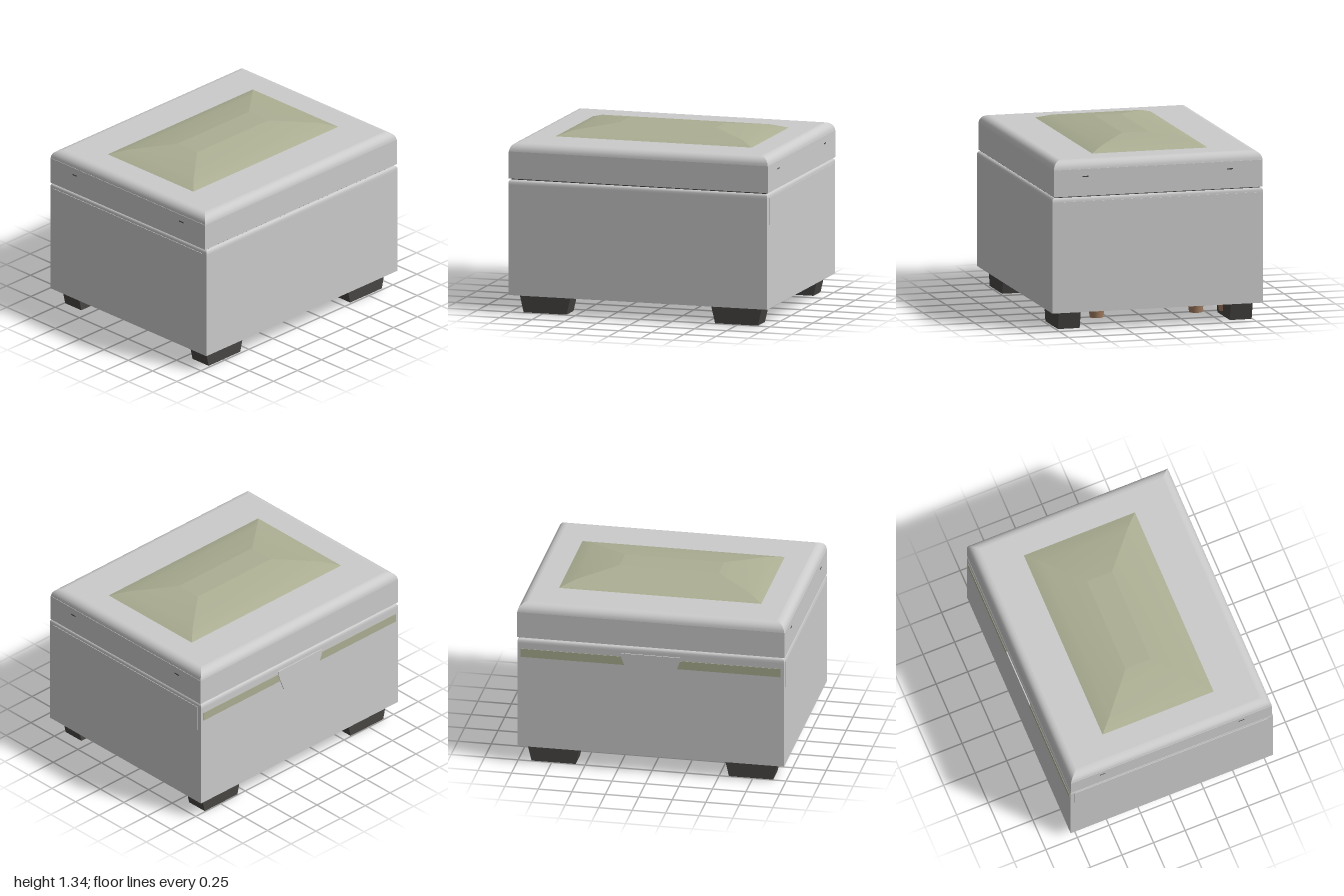
import * as THREE from 'three';

const mat = (color) => new THREE.MeshStandardMaterial({ color });

// Closed rectangular loft through [y, halfX, halfZ] levels: mitred corners, smooth up each side
function rectLoft(levels) {
  const pos = [], idx = [];
  const corners = ([y, x, z]) => [[x, y, z], [x, y, -z], [-x, y, -z], [-x, y, z]];
  for (let s = 0; s < 4; s++) {
    const start = pos.length / 3;
    levels.forEach((level, i) => {
      const c = corners(level);
      pos.push(...c[s], ...c[(s + 1) % 4]);
      if (i) {
        const a = start + (i - 1) * 2;
        idx.push(a, a + 1, a + 3, a, a + 3, a + 2);
      }
    });
  }
  for (const [level, flip] of [[levels[0], true], [levels.at(-1), false]]) {
    const a = pos.length / 3;
    corners(level).forEach((p) => pos.push(...p));
    idx.push(...(flip ? [a, a + 2, a + 1, a, a + 3, a + 2] : [a, a + 1, a + 2, a, a + 2, a + 3]));
  }
  const g = new THREE.BufferGeometry();
  g.setAttribute('position', new THREE.Float32BufferAttribute(pos, 3));
  g.setIndex(idx);
  g.computeVertexNormals();
  return g;
}

export function createModel() {
  const model = new THREE.Group();
  const grey = mat(0xcccccc), olive = mat(0xacaf93), dark = mat(0x484643), wood = mat(0xa67f62);

  function add(name, geometry, material, x = 0, y = 0, z = 0) {
    const mesh = new THREE.Mesh(geometry, material);
    mesh.name = name;
    mesh.position.set(x, y, z);
    model.add(mesh);
    return mesh;
  }

  // Storage body with a softened upper lip
  add('body', rectLoft([
    [0.135, 0.996, 0.802], [0.955, 0.996, 0.802], [0.975, 0.996, 0.802],
    [0.987, 0.99, 0.796], [0.992, 0.978, 0.784],
  ]), grey);
  add('lidSeam', new THREE.BoxGeometry(1.96, 0.02, 1.56), dark, 0, 0.995, 0);

  // Lid: straight border with a rounded top
  add('lidBorder', new THREE.BoxGeometry(1.998, 0.2, 1.59), grey, 0, 1.1, -0.004);
  const top = [];
  for (let i = 0; i <= 6; i++) {
    const a = (i / 6) * Math.PI / 2, inset = 0.065 * (1 - Math.cos(a));
    top.push([1.2 + 0.065 * Math.sin(a), 0.996 - inset, 0.795 - inset]);
  }
  add('lidTop', rectLoft(top), grey, 0, 0, -0.004);

  // Low domed pad set into the lid
  add('topPad', rectLoft([
    [1.255, 0.79, 0.47], [1.265, 0.755, 0.44], [1.3, 0.65, 0.34], [1.335, 0.37, 0.1],
  ]), olive, 0, 0, -0.01);

  for (const side of [1, -1]) {
    // Thin side panels and small lid catches
    add('sidePanel', new THREE.BoxGeometry(0.01, 0.2, 1.53), grey, side * 0.995, 0.86, -0.005);
    for (const z of [0.55, -0.55]) {
      add('lidCatch', new THREE.BoxGeometry(0.01, 0.008, 0.045), dark, side * 0.996, 1.145, z);
    }
  }

  // Strip and pull tab on the back
  add('backStrip', new THREE.BoxGeometry(1.94, 0.065, 0.01), olive, 0, 0.88, -0.8);
  const tab = new THREE.Shape([[-0.22, 0.94], [-0.22, 0.91], [-0.165, 0.765], [0.165, 0.765], [0.22, 0.91], [0.22, 0.94]]
    .map(([x, y]) => new THREE.Vector2(x, y)));
  add('pullTab', new THREE.ExtrudeGeometry(tab, { depth: 0.012, bevelEnabled: false }), grey, 0, 0, -0.81);

  // Tapered block feet, each with two wooden pegs beside it
  const footShape = new THREE.Shape([[-0.165, 0], [0.165, 0], [0.198, 0.14], [-0.198, 0.14]]
    .map(([x, y]) => new THREE.Vector2(x, y)));
  const footGeo = new THREE.ExtrudeGeometry(footShape, { depth: 0.166, bevelEnabled: false });
  footGeo.translate(0, 0, -0.083);
  const pegGeo = new THREE.CylinderGeometry(0.066, 0.049, 0.105, 20);
  for (const sx of [1, -1]) {
    for (const sz of [1, -1]) {
      add('foot', footGeo, dark, sx * 0.737, 0, sz * 0.655 - 0.005);
      for (const z of [0.378, 0.605]) add('woodenPeg', pegGeo, wood, sx * 0.68, 0.085, sz * z - 0.003);
    }
  }
  return model;
}
